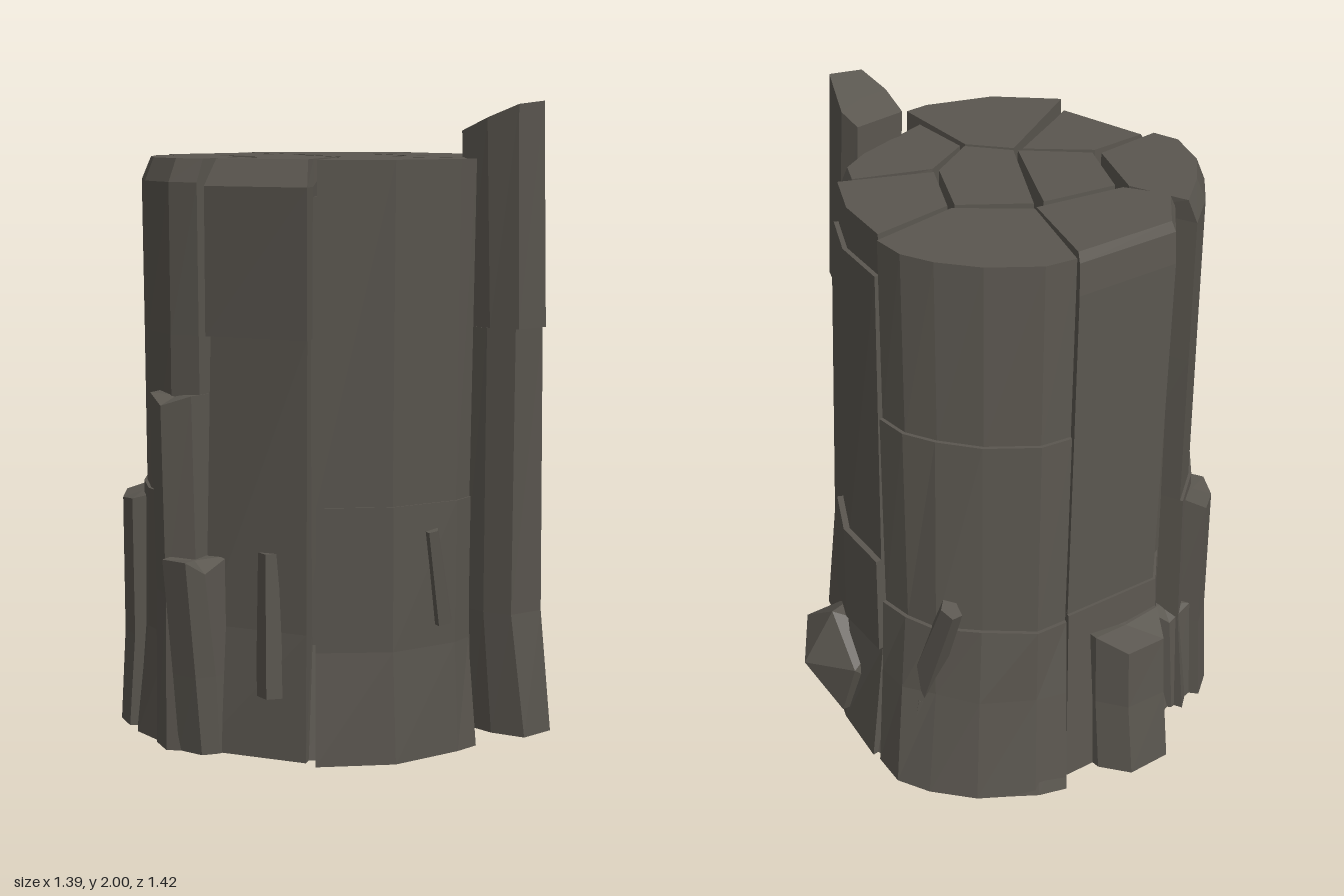
import * as THREE from 'three';

const TOP = 1.83;
const stone = new THREE.MeshStandardMaterial({ color: 0x5a564f });
stone.name = 'darkStone';

// small repeatable irregularity
const jitter = (a, b) => Math.sin(a * 12.9 + b * 78.2 + 1.3) * 0.012;

function facetedMesh(name, geometry) {
  const g = geometry.index ? geometry.toNonIndexed() : geometry;
  g.computeVertexNormals();
  const mesh = new THREE.Mesh(g, stone);
  mesh.name = name;
  return mesh;
}

// Leaning prism. points: [x, z, drop at the top]; levels: [y, outward push] from top to bottom.
function column(name, points, levels, lean = [0.1, -0.09]) {
  const n = points.length;
  const area = points.reduce((s, p, i) => {
    const q = points[(i + 1) % n];
    return s + p[1] * q[0] - p[0] * q[1];
  }, 0);
  const poly = area > 0 ? points : [...points].reverse();
  const height = levels[0][0];
  const rings = levels.map(([y, out], level) => {
    const t = (height - y) / TOP;
    return poly.map(([x, z, drop = 0]) => {
      const r = Math.hypot(x + 0.06, z);
      const push = r > 0.36 ? out + (level ? jitter(x + y, z) * t : 0) : 0;
      return new THREE.Vector3(
        x + lean[0] * t + ((x + 0.06) / r) * push,
        level === 0 ? y - drop : y,
        z + lean[1] * t + (z / r) * push);
    });
  });
  const tris = [];
  const centre = (ring) => ring.reduce((c, p) => c.add(p), new THREE.Vector3()).divideScalar(n);
  const first = rings[0], last = rings[rings.length - 1];
  const topCentre = centre(first), baseCentre = centre(last);
  for (let i = 0; i < n; i++) {
    const j = (i + 1) % n;
    tris.push(topCentre, first[i], first[j], baseCentre, last[j], last[i]);
    for (let k = 0; k + 1 < rings.length; k++) {
      const up = rings[k], low = rings[k + 1];
      tris.push(low[i], low[j], up[j], low[i], up[j], up[i]);
    }
  }
  return facetedMesh(name, new THREE.BufferGeometry().setFromPoints(tris));
}

function shard(name, size, position, rotation) {
  const mesh = facetedMesh(name, new THREE.CylinderGeometry(0.7, 1, 1, 5));
  mesh.scale.set(...size);
  mesh.position.set(...position);
  mesh.rotation.set(...rotation);
  return mesh;
}

export function createModel() {
  const model = new THREE.Group();
  model.name = 'basaltColumnRock';
  const plain = [[TOP, 0], [0, 0]];

  // solid heart that closes the cracks
  model.add(column('rockCore', [
    [-0.57, -0.08], [-0.4, -0.35], [-0.2, -0.42], [0.13, -0.41], [0.36, -0.29], [0.46, 0],
    [0.36, 0.28], [0.15, 0.41], [-0.12, 0.5], [-0.33, 0.46], [-0.49, 0.3],
  ], [[1.72, 0], [0.35, 0.01], [0, 0.08]]));

  // main columns split by cracks
  model.add(
    column('backColumn',
      [[-0.34, -0.35], [-0.22, -0.485], [0.12, -0.46], [0.03, -0.165], [-0.26, -0.225]],
      [[TOP, 0], [1.8, 0.015], [1.7, 0.02], [0.6, 0], [0.6, 0.01], [0.3, 0.01], [0, 0.04]]),
    column('leftColumn',
      [[-0.37, -0.44], [-0.28, -0.23], [-0.37, 0], [-0.63, 0.01], [-0.655, -0.08], [-0.6, -0.23], [-0.5, -0.34]],
      [[TOP, -0.03], [1.76, 0], [1.3, 0], [0.8, 0], [0.8, 0.01], [0.35, 0.02], [0, 0.045]]),
    column('centreColumn', [[-0.25, -0.2], [-0.01, -0.15], [-0.18, 0.18], [-0.35, 0.02]], plain),
    column('middleColumn', [[0.02, -0.14], [0.21, 0], [0.1, 0.22], [-0.07, 0.31], [-0.17, 0.19]], plain),
    column('backRightColumn',
      [[0.15, -0.49], [0.25, -0.47], [0.39, -0.365], [0.48, -0.25], [0.525, -0.15], [0.525, -0.04], [0.23, -0.01], [0.04, -0.17]],
      [[TOP, 0], [1.25, -0.012], [1.25, 0], [0.6, -0.01], [0.6, 0.003], [0.35, 0.01], [0, 0.04]]),
    column('rightColumn',
      [[0.23, 0.01], [0.5, -0.01], [0.47, 0.19], [0.39, 0.35], [0.12, 0.22]],
      [[TOP, 0], [1.7, 0], [1.7, 0.015], [0.73, 0.015], [0.73, 0.035], [0.4, 0.03], [0.4, 0.015], [0, 0.05]]),
    column('frontRightColumn',
      [[0.11, 0.24], [0.36, 0.35], [0.32, 0.43], [0.22, 0.48], [-0.06, 0.55], [-0.06, 0.32]],
      [[TOP, -0.02], [1.78, 0], [1.55, 0], [1.55, 0.01], [0.65, 0], [0.65, 0.01], [0, 0.04]]),
    column('frontLeftColumn',
      [[-0.18, 0.2], [-0.08, 0.32], [-0.09, 0.64], [-0.17, 0.64], [-0.38, 0.56], [-0.545, 0.4]],
      [[TOP, 0], [0.8, 0], [0.8, 0.005], [0.35, 0.01], [0, 0.04]]),
    column('leftFrontColumn',
      [[-0.62, 0.03], [-0.37, 0.03], [-0.2, 0.18], [-0.47, 0.325], [-0.54, 0.36]],
      [[TOP, -0.06], [1.75, 0], [1.3, 0], [1.3, -0.025], [0.4, 0], [0, 0.04]]),
  );

  // tall front spike with a slanted top
  model.add(column('frontSpike',
    [[0.03, 0.5, 0.09], [0.21, 0.49, 0.09], [0.22, 0.56, 0.06], [0.155, 0.715, 0], [0.04, 0.7, 0.01], [0.02, 0.6, 0.05]],
    [[2, 0], [1.31, 0], [1.31, -0.01], [0.4, -0.025], [0, 0.01]], [0.12, -0.045]));

  // shorter columns leaning against the sides
  model.add(
    column('backStub',
      [[-0.15, -0.57], [-0.09, -0.67, 0.04], [0.05, -0.66, 0.04], [0.11, -0.57], [0.11, -0.46], [-0.15, -0.46]],
      [[0.5, 0], [0.25, 0.01], [0, 0.04]], [0, 0]),
    column('backLeftStub',
      [[-0.52, -0.38, 0.03], [-0.48, -0.46, 0.04], [-0.4, -0.52, 0.03], [-0.34, -0.45], [-0.42, -0.28]],
      [[0.78, 0], [0.3, 0], [0, 0.02]], [0.05, -0.03]),
    column('backLeftLowStub',
      [[-0.37, -0.5, 0.03], [-0.26, -0.52, 0.05], [-0.2, -0.45], [-0.3, -0.38]],
      [[0.4, 0], [0, 0.02]], [0, 0]),
    column('leftTallStub',
      [[-0.68, -0.1, 0.03], [-0.64, -0.18], [-0.55, -0.2], [-0.5, -0.02], [-0.63, -0.02]],
      [[1.12, 0], [0.5, 0], [0, 0.015]], [0.09, -0.05]),
    column('leftLowStub',
      [[-0.69, -0.09], [-0.685, 0], [-0.63, 0.03, 0.04], [-0.52, 0.03], [-0.53, -0.12]],
      [[0.62, 0], [0.25, 0], [0, 0.01]], [0.25, -0.03]),
    column('backRightFoot',
      [[0.24, -0.57], [0.32, -0.54], [0.42, -0.47], [0.3, -0.35], [0.2, -0.45]],
      [[0.35, -0.02], [0.2, 0.01], [0, 0.06]], [0.02, -0.02]),
  );

  // boulder at the foot
  const boulder = facetedMesh('footBoulder', new THREE.IcosahedronGeometry(1, 0));
  boulder.scale.set(0.15, 0.21, 0.19);
  boulder.position.set(0.54, 0.2, 0.18);
  boulder.rotation.set(0.2, 0.4, 0.1);
  model.add(boulder);

  // splinters lying on the faces
  model.add(
    shard('frontSplinter', [0.035, 0.3, 0.03], [-0.17, 0.57, 0.565], [0, 0, 0.2]),
    shard('leftFrontSplinter', [0.045, 0.45, 0.05], [-0.49, 0.42, 0.17], [0, 0, 0.02]),
    shard('rightSplinter', [0.045, 0.42, 0.06], [0.55, 0.51, -0.31], [-0.35, 0, 0.05]),
    shard('backRightSplinter', [0.05, 0.3, 0.05], [0.58, 0.16, -0.27], [-0.1, 0.4, 0.12]),
  );
  return model;
}
